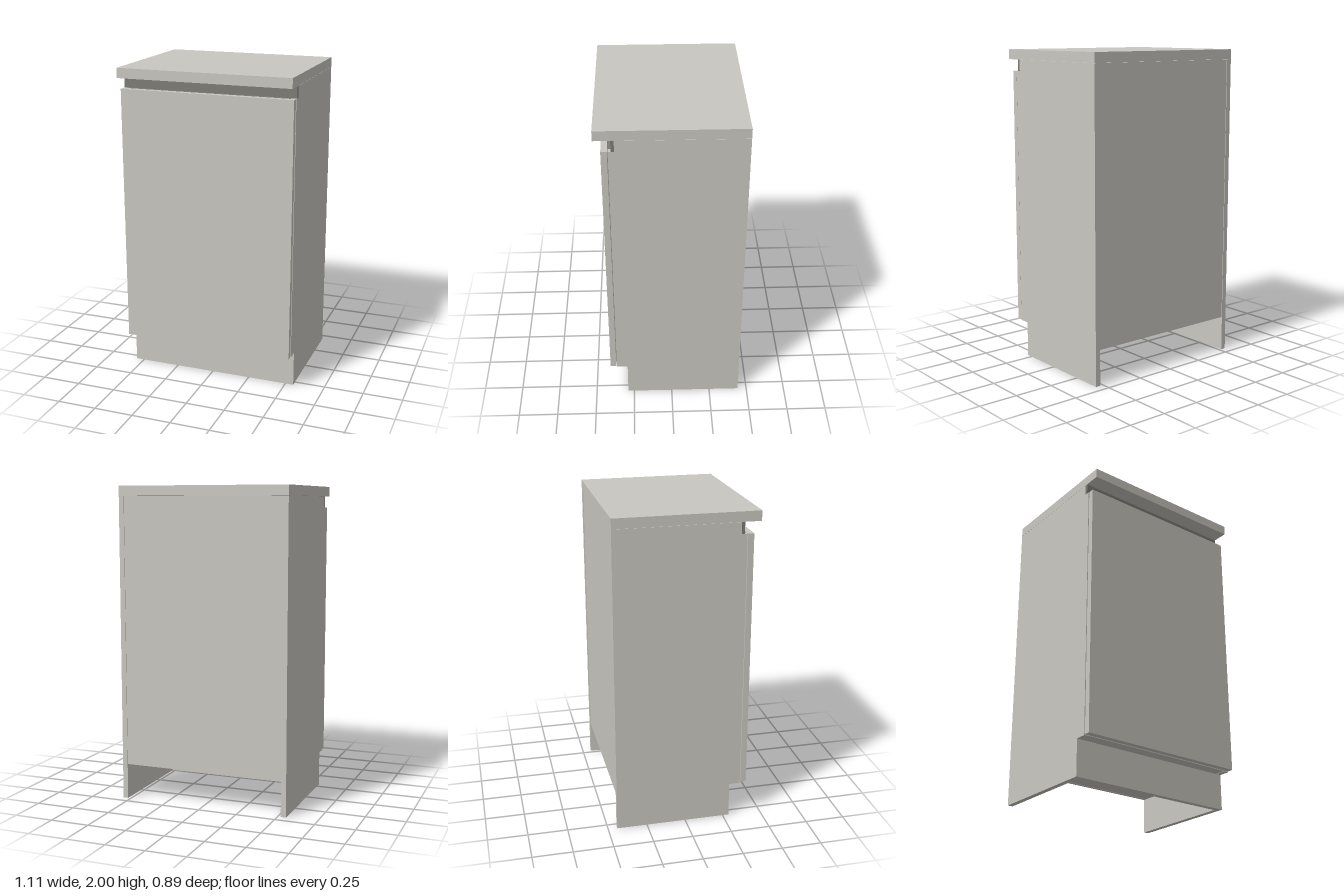
import * as THREE from 'three';

export function createModel() {
  const group = new THREE.Group();
  const paint = new THREE.MeshStandardMaterial({ color: 0xc9c7c0 });
  paint.name = 'warm grey paint';
  const shade = new THREE.MeshStandardMaterial({ color: 0x7c7b74 });
  shade.name = 'dark grey rail';

  // Box given by its limits on each axis
  function panel(name, [x0, x1], [y0, y1], [z0, z1], material = paint) {
    const mesh = new THREE.Mesh(new THREE.BoxGeometry(x1 - x0, y1 - y0, z1 - z0), material);
    mesh.position.set((x0 + x1) / 2, (y0 + y1) / 2, (z0 + z1) / 2);
    mesh.name = name;
    group.add(mesh);
  }

  const W = 0.553, T = 0.033, inner = W - T;
  const back = -0.442;

  // Side panels, notched for the toe kick and the finger rail
  const profile = new THREE.Shape([
    [back, 0], [0.255, 0], [0.255, 0.225], [0.36, 0.225],
    [0.36, 1.866], [0.324, 1.866], [0.324, 1.937], [back, 1.937],
  ].map(([z, y]) => new THREE.Vector2(-z, y)));
  const sideGeometry = new THREE.ExtrudeGeometry(profile, { depth: T, bevelEnabled: false });
  sideGeometry.rotateY(Math.PI / 2); // profile runs along z, depth along x
  for (const [name, x] of [['leftSide', inner], ['rightSide', -W]]) {
    const side = new THREE.Mesh(sideGeometry, paint);
    side.position.x = x;
    side.name = name;
    group.add(side);
  }

  // Carcass
  panel('backPanel', [-inner, inner], [0.225, 1.937], [back + 0.004, back + 0.022]);
  panel('bottomPanel', [-inner, inner], [0.227, 0.26], [back + 0.022, 0.36]);
  panel('toeKick', [-W, W], [0, 0.225], [0.255, 0.29]);

  // Worktop
  panel('worktop', [-W, W], [1.938, 2], [back, 0.444]);

  // Door and the recessed finger rail above it
  panel('door', [-W + 0.002, W - 0.002], [0.23, 1.866], [0.364, 0.401]);
  panel('fingerRail', [-W, W], [1.866, 1.937], [0.324, 0.343], shade);
  panel('railLip', [-inner, inner], [1.848, 1.866], [0.324, 0.36], shade);

  return group;
}
